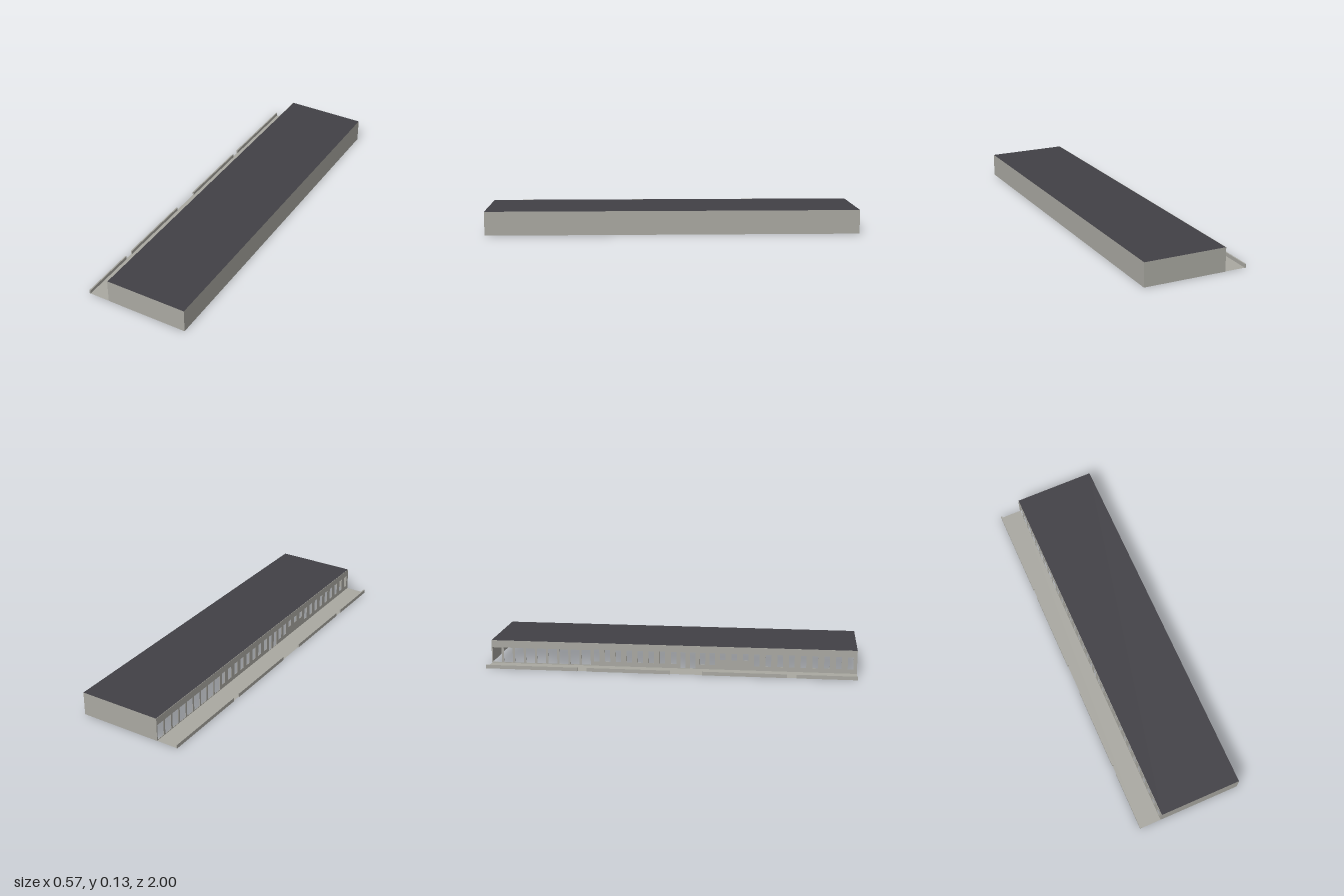
import * as THREE from 'three';

export function createModel() {
  const model = new THREE.Group();
  const wallMat = new THREE.MeshStandardMaterial({ color: 0xaaa9a2, side: THREE.DoubleSide });
  wallMat.name = 'warm grey wall';
  const roofMat = new THREE.MeshStandardMaterial({ color: 0x424146, side: THREE.DoubleSide });
  roofMat.name = 'dark roof';

  const xFacade = -0.163, xEnd = 0.284, height = 0.128, bay = 2 / 32;
  const width = xEnd - xFacade, xMid = (xEnd + xFacade) / 2;

  const add = (name, geometry, material, x, y, z) => {
    const mesh = new THREE.Mesh(geometry, material);
    mesh.name = name;
    mesh.position.set(x, y, z);
    model.add(mesh);
    return mesh;
  };

  // Hollow hall: roof, long blank wall and two end walls, open underneath
  add('roof', new THREE.PlaneGeometry(width, 2).rotateX(-Math.PI / 2), roofMat, xMid, height, 0);
  add('blankLongWall', new THREE.PlaneGeometry(2, height).rotateY(Math.PI / 2), wallMat, xEnd, height / 2, 0);
  for (const side of [1, -1]) {
    const end = new THREE.PlaneGeometry(width, height);
    if (side < 0) end.rotateY(Math.PI);
    add(side > 0 ? 'frontEndWall' : 'backEndWall', end, wallMat, xMid, height / 2, side);
  }

  // Facade drawn along z, with one opening per bay
  const facade = new THREE.Shape();
  facade.moveTo(-1, 0).lineTo(1, 0).lineTo(1, height).lineTo(-1, height).closePath();
  const opening = (bayPosition, w, bottom, top) => {
    const z = -1 + bayPosition * bay;
    const hole = new THREE.Path();
    hole.moveTo(z - w / 2, bottom).lineTo(z - w / 2, top);
    hole.lineTo(z + w / 2, top).lineTo(z + w / 2, bottom).closePath();
    facade.holes.push(hole);
  };
  for (let i = 0; i < 9; i++) opening(i + 0.5, 0.05, 0.005, 0.088); // wide gates
  for (let i = 0; i < 8; i++) opening(9.43 + i * 0.97, 0.03, 0.025, 0.092); // windows
  for (const p of [17.05, 17.9]) opening(p, 0.029, 0.003, 0.092); // doors
  for (const p of [18.75, 19.6]) opening(p, 0.03, 0.025, 0.092);
  for (let i = 20; i < 23; i++) opening(i + 0.5, 0.03, 0.055, 0.092); // high windows
  for (let i = 23; i < 32; i++) opening(i + 0.45, 0.03, 0.025, 0.092);
  const facadeGeometry = new THREE.ExtrudeGeometry(facade, { depth: 0.002, bevelEnabled: false });
  add('windowFacade', facadeGeometry.rotateY(-Math.PI / 2), wallMat, xFacade, 0, 0);

  // Paved strip in front of the facade
  const stripWidth = xFacade + 0.281;
  add('pavedStrip', new THREE.PlaneGeometry(stripWidth, 2).rotateX(-Math.PI / 2), wallMat,
    xFacade - stripWidth / 2, 0.001, 0);

  // Low boundary wall, broken by gateways
  for (const [z0, z1] of [[-1, -0.496], [-0.444, 0.008], [0.18, 0.63], [0.68, 1]]) {
    add('lowWall', new THREE.BoxGeometry(0.007, 0.02, z1 - z0), wallMat, -0.2805, 0.01, (z0 + z1) / 2);
  }

  return model;
}
